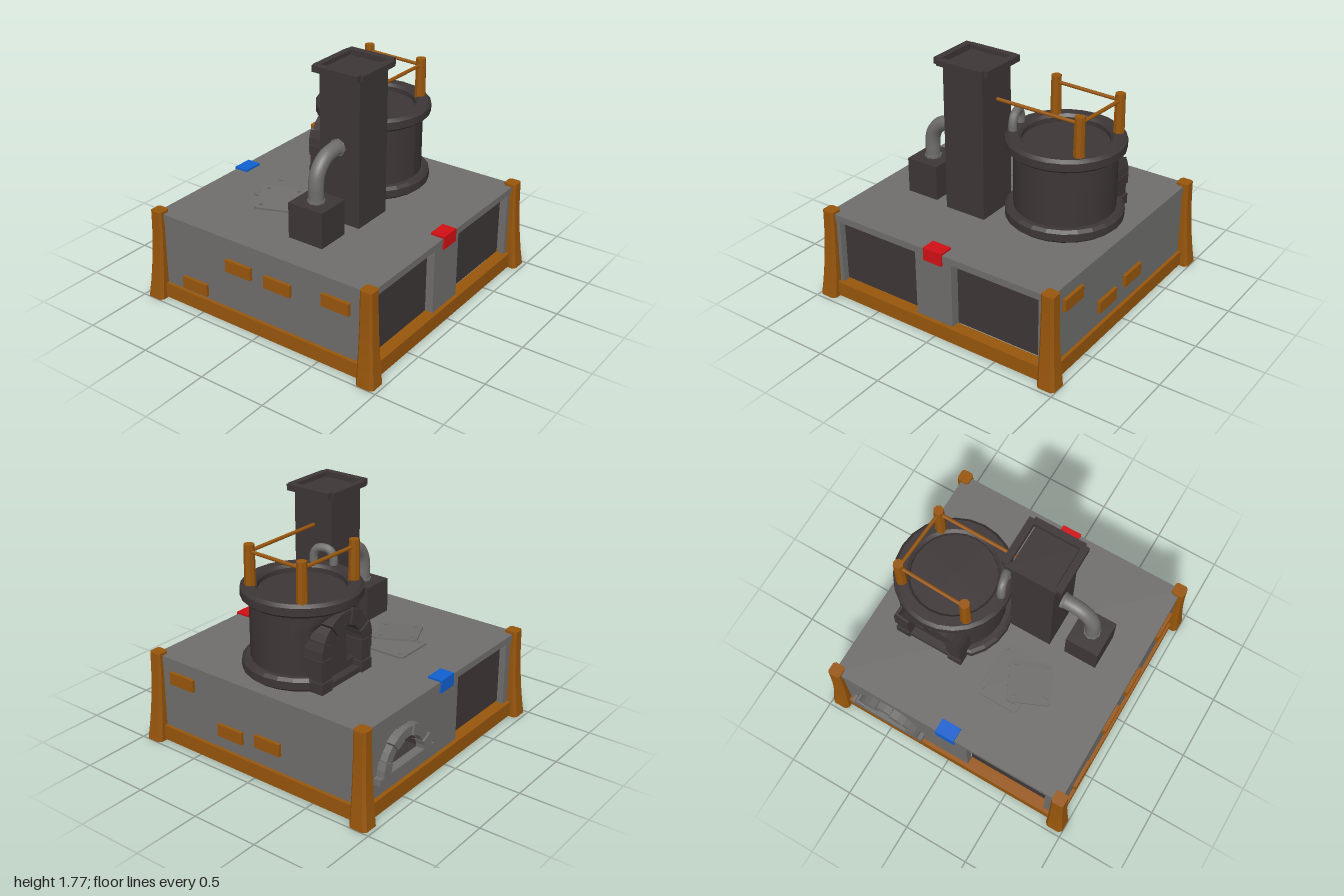
import * as THREE from 'three';
import { toCreasedNormals } from 'three/addons/utils/BufferGeometryUtils.js';

const paint = (name, color, side = THREE.FrontSide) => {
  const m = new THREE.MeshStandardMaterial({ color, side });
  m.name = name;
  return m;
};

export function createModel() {
  const model = new THREE.Group();
  const stone = paint('stone grey', 0x6f6e6c);
  const iron = paint('dark iron', 0x3e3636, THREE.DoubleSide);
  const darkPanel = paint('dark panel', 0x3e3636);
  const wood = paint('orange wood', 0x98560c);
  const red = paint('red', 0xd01014);
  const blue = paint('blue', 0x1060d0);

  const add = (name, geo, mat, parent = model) => {
    const mesh = new THREE.Mesh(geo, mat);
    mesh.name = name;
    parent.add(mesh);
    return mesh;
  };
  // Box given by its limits on each axis
  const box = (name, mat, x0, x1, y0, y1, z0, z1) => {
    const mesh = add(name, new THREE.BoxGeometry(x1 - x0, y1 - y0, z1 - z0), mat);
    mesh.position.set((x0 + x1) / 2, (y0 + y1) / 2, (z0 + z1) / 2);
    return mesh;
  };
  const polygon = pts => new THREE.Shape(pts.map(p => new THREE.Vector2(...p)));
  const extrude = (shape, depth, extra = {}) =>
    new THREE.ExtrudeGeometry(shape, { depth, bevelEnabled: false, curveSegments: 12, ...extra });
  const tube = (name, pts, radius, mat, sides = 12) =>
    add(name, new THREE.TubeGeometry(new THREE.CatmullRomCurve3(pts.map(p => new THREE.Vector3(...p))), 28, radius, sides), mat);
  const rod = (name, a, b, radius, mat) => {
    const p = new THREE.Vector3(...a), q = new THREE.Vector3(...b);
    const mesh = add(name, new THREE.CylinderGeometry(radius, radius, p.distanceTo(q), 8), mat);
    mesh.position.copy(p).lerp(q, 0.5);
    mesh.quaternion.setFromUnitVectors(new THREE.Vector3(0, 1, 0), q.sub(p).normalize());
  };

  // Base: deck, side walls, front pillar and jambs
  box('deck', stone, -0.92, 0.92, 0.61, 0.66, -0.9, 0.9);
  for (const s of [-1, 1]) {
    const a = 0.915 * s, b = 0.87 * s;
    box('sideWall', stone, Math.min(a, b), Math.max(a, b), 0.1, 0.61, -0.89, 0.89);
    const c = s < 0 ? -0.87 : 0.825;
    box('frontJamb', stone, c, c + 0.04, 0.1, 0.61, 0.84, 0.89);
  }
  box('frontPillar', stone, -0.16, 0.14, 0.1, 0.61, 0.8, 0.89);
  box('backJamb', stone, -0.87, -0.8, 0.1, 0.61, -0.89, -0.84);

  // Back wall with the arched oven mouth
  const back = polygon([[-0.16, 0.1], [0.87, 0.1], [0.87, 0.61], [-0.16, 0.61]]);
  const mouth = new THREE.Path();
  mouth.moveTo(0.7, 0.28);
  mouth.absarc(0.5, 0.28, 0.2, 0, Math.PI, false);
  mouth.closePath();
  back.holes.push(mouth);
  add('backWall', extrude(back, 0.05), stone).position.z = -0.89;

  // Dark storage bay through the base, and the panel of the other front bay
  box('storageBay', darkPanel, -0.845, -0.16, 0.11, 0.61, -0.83, 0.83);
  const panel = add('frontPanel', new THREE.PlaneGeometry(0.67, 0.48), darkPanel);
  panel.position.set(0.485, 0.37, 0.835);

  // Oven niche behind the mouth
  const lining = add('ovenLining',
    new THREE.CylinderGeometry(0.2, 0.2, 0.2, 14, 1, true, Math.PI / 2, Math.PI), iron);
  lining.rotation.x = Math.PI / 2;
  lining.position.set(0.5, 0.28, -0.77);
  const ovenBack = add('ovenBack', new THREE.CircleGeometry(0.2, 14, 0, Math.PI), iron);
  ovenBack.position.set(0.5, 0.28, -0.67);
  box('ovenFloor', iron, 0.3, 0.7, 0.27, 0.28, -0.88, -0.67);

  // Ring of wedge bricks, slightly uneven
  const brickArch = (name, n, ri, ro, cx, cy, z0, depth, mat) => {
    for (let i = 0; i < n; i++) {
      const a0 = Math.PI * i / n + 0.012, a1 = Math.PI * (i + 1) / n - 0.012;
      const r = ro - (i % 2) * 0.012;
      const at = (rad, a) => [rad * Math.cos(a), rad * Math.sin(a)];
      const mid = (a0 + a1) / 2;
      const shape = polygon([at(ri, a0), at(r, a0), at(r, mid), at(r, a1), at(ri, a1), at(ri, mid)]);
      const inset = (i % 2) * 0.01;
      add(name, extrude(shape, depth - inset), mat).position.set(cx, cy, z0 + inset);
    }
  };
  brickArch('ovenBrick', 7, 0.19, 0.27, 0.5, 0.265, -0.95, 0.07, stone);
  box('ovenSill', stone, 0.2, 0.8, 0.235, 0.28, -0.945, -0.88);

  // Timber frame: beams and flared corner posts
  for (const s of [-1, 1]) {
    const z = 0.875 * s, x = 0.895 * s;
    box('beam', wood, -0.87, 0.87, 0.01, 0.12, z - 0.045, z + 0.045);
    box('beam', wood, x - 0.045, x + 0.045, 0.01, 0.12, -0.85, 0.85);
  }
  const c = 0.015, w = 0.095;
  const section = polygon([[c, 0], [w - c, 0], [w, c], [w, w - c], [w - c, w], [c, w], [0, w - c], [0, c]]);
  for (const sx of [-1, 1]) for (const sz of [-1, 1]) {
    const geo = extrude(section, 0.68, { steps: 6 });
    geo.rotateX(-Math.PI / 2).translate(0, 0, w);
    const p = geo.attributes.position;
    for (let i = 0; i < p.count; i++) {
      const k = 1 + 0.45 * (1 - p.getY(i) / 0.68) ** 2;
      const px = p.getX(i), pz = p.getZ(i);
      // Mirror about the post's own centre, then flare outwards only
      const ux = sx > 0 ? px : w - px, uz = sz > 0 ? pz : w - pz;
      p.setX(i, sx > 0 ? 0.86 + ux * k : -0.86 - ux * k);
      p.setZ(i, sz > 0 ? 0.835 + uz * k : -0.835 - uz * k);
    }
    geo.computeVertexNormals();
    add('cornerPost', geo, wood);
  }

  // Loose wooden bricks on the side walls: side, z, y
  for (const [s, z, y] of [[1, 0.645, 0.52], [1, 0.21, 0.265], [1, -0.12, 0.295],
    [-1, -0.56, 0.19], [-1, -0.16, 0.46], [-1, 0.17, 0.45], [-1, 0.64, 0.49]])
    box('wallBrick', wood, s * 0.92 - 0.02, s * 0.92 + 0.02, y - 0.045, y + 0.045, z - 0.108, z + 0.108);

  // Folded markers on the front and back edges
  for (const [s, mat] of [[1, red], [-1, blue]]) {
    const z = 0.855 * s, f = 0.903 * s;
    box('markerTop', mat, -0.075, 0.075, 0.66, 0.675, z - 0.053, z + 0.053);
    box('markerFace', mat, -0.075, 0.075, 0.58, 0.675, f - 0.007, f + 0.007);
  }

  // Chimney with an open cap
  box('chimney', iron, -0.295, 0.025, 0.66, 1.74, 0.05, 0.37);
  box('capSide', iron, -0.355, -0.305, 1.73, 1.775, 0.03, 0.39);
  box('capSide', iron, 0.035, 0.085, 1.73, 1.775, 0.03, 0.39);
  box('capEnd', iron, -0.32, 0.05, 1.73, 1.77, 0.015, 0.06);
  box('capEnd', iron, -0.32, 0.05, 1.73, 1.77, 0.36, 0.41);

  // Firebox and its bent pipe
  box('firebox', iron, -0.66, -0.41, 0.66, 0.92, 0.06, 0.335);
  const bend = [[-0.54, 0.92, 0.2], [-0.54, 0.99, 0.2]];
  for (let i = 0; i <= 4; i++) {
    const a = Math.PI - i * Math.PI / 8;
    bend.push([-0.36 + 0.18 * Math.cos(a), 1.04 + 0.18 * Math.sin(a), 0.2]);
  }
  bend.push([-0.29, 1.22, 0.2]);
  tube('firePipe', bend, 0.053, stone);
  rod('pipeCollar', [-0.54, 0.915, 0.2], [-0.54, 0.935, 0.2], 0.061, stone);
  rod('pipeCollar', [-0.315, 1.22, 0.2], [-0.29, 1.22, 0.2], 0.061, stone);

  // Tank, with its back pressed flat for the furnace mouth
  const tank = new THREE.Group();
  tank.name = 'tank';
  tank.position.set(0.428, 0, -0.02);
  model.add(tank);
  const flatten = (geo, limitAt) => {
    const p = geo.attributes.position;
    for (let i = 0; i < p.count; i++) p.setZ(i, Math.max(p.getZ(i), limitAt(p.getY(i))));
    geo.computeVertexNormals();
    return geo;
  };
  const wall = new THREE.CylinderGeometry(0.355, 0.355, 0.52, 24, 12, true).translate(0, 0.96, 0);
  add('tankWall', flatten(wall, y => -0.25 - 0.11 * THREE.MathUtils.smoothstep(y, 1.02, 1.2)), iron, tank);
  const rim = (y0, y1, ri) => toCreasedNormals(new THREE.LatheGeometry(
    [[ri, y0], [0.39, y0], [0.413, y0 + 0.02], [0.413, y1 - 0.02], [0.39, y1], [ri + 0.02, y1], [ri, y1 - 0.02], [ri, y0]]
      .map(p => new THREE.Vector2(...p)), 24), 0.6);
  add('tankFoot', flatten(rim(0.66, 0.755, 0.3), () => -0.31), iron, tank);
  add('tankRim', rim(1.18, 1.275, 0.3), iron, tank);
  const floor = add('tankLid', new THREE.CircleGeometry(0.32, 24), iron, tank);
  floor.rotation.x = -Math.PI / 2;
  floor.position.y = 1.22;

  // Furnace mouth of dark bricks
  brickArch('furnaceBrick', 7, 0.16, 0.268, 0.435, 0.9, -0.405, 0.15, iron);
  for (const s of [-1, 1]) for (let i = 0; i < 3; i++) {
    const x = 0.435 + s * 0.212, y = 0.66 + i * 0.08, g = (i % 2) * 0.01;
    box('furnaceBrick', iron, x - 0.052, x + 0.055 - g, y, y + 0.076, -0.405 + g, -0.25);
  }
  box('furnaceFloor', iron, 0.27, 0.6, 0.66, 0.7, -0.39, -0.25);

  // Railing on the tank
  const posts = [[0.185, -0.265], [0.7, -0.245], [0.675, 0.215]];
  for (const [x, z] of posts) {
    const post = add('railPost', new THREE.CylinderGeometry(0.036, 0.04, 0.3, 8).toNonIndexed(), wood);
    post.geometry.computeVertexNormals();
    post.position.set(x, 1.405, z);
  }
  const ends = [...posts, [0.02, 0.205]];
  for (let i = 0; i < 3; i++)
    rod('rail', [ends[i][0], 1.505, ends[i][1]], [ends[i + 1][0], 1.505, ends[i + 1][1]], 0.013, wood);

  // Small hooked pipe on the rim
  tube('hookPipe', [[0.07, 1.24, 0], [0.07, 1.33, 0], [0.077, 1.375, 0.025], [0.088, 1.387, 0.07],
    [0.1, 1.375, 0.115], [0.105, 1.33, 0.14], [0.105, 1.24, 0.14]], 0.03, stone, 10);

  // Loose metal plates with bolt holes
  const plate = (wide, deep) => {
    const x = wide / 2, y = deep / 2, k = 0.02;
    const s = polygon([[-x + k, -y], [x - k, -y], [x, -y + k], [x, y - k], [x - k, y], [-x + k, y], [-x, y - k], [-x, -y + k]]);
    for (const sx of [-1, 1]) for (const sy of [-1, 1])
      s.holes.push(new THREE.Path().absarc(sx * (x - 0.045), sy * (y - 0.045), 0.014, 0, Math.PI * 2, true));
    return extrude(s, 0.014).rotateX(-Math.PI / 2);
  };
  add('lowerPlate', plate(0.32, 0.42), stone).position.set(-0.185, 0.672, -0.31);
  const upper = add('upperPlate', plate(0.31, 0.31), stone);
  upper.position.set(-0.325, 0.695, -0.28);
  upper.rotation.set(0.03, 0.43, 0.06);

  return model;
}
